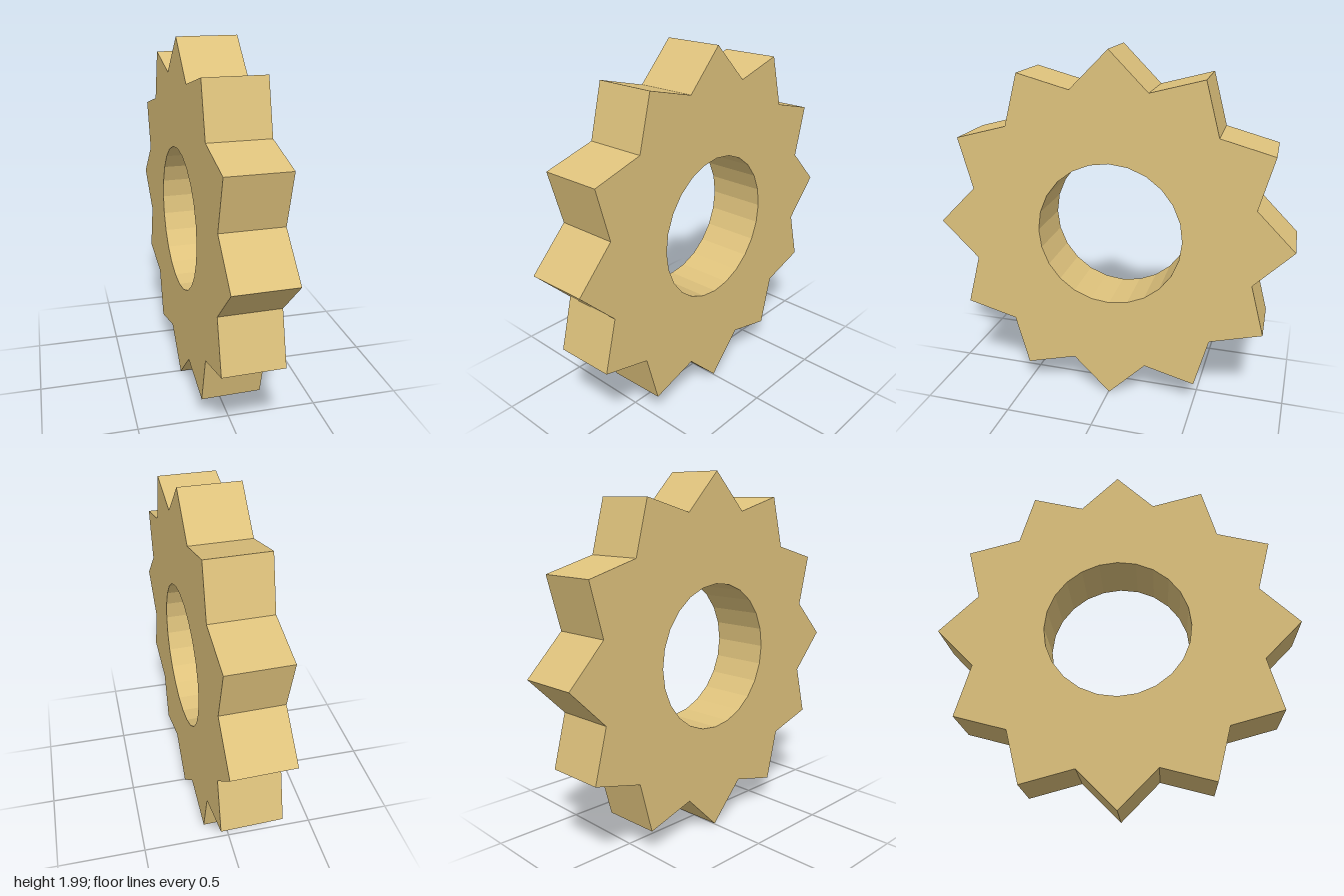
import * as THREE from 'three';

const TEETH = 12;
const OUTER = 0.995;
const INNER = 0.813;
const HOLE = 0.405;
const HOLE_SIDES = 24;
const THICKNESS = 0.33;
const TILT = 0.03;

// Points round a circle, starting at the top; radiusAt gives each point's radius
function ring(count, radiusAt) {
  return Array.from({ length: count }, (_, i) => {
    const a = Math.PI / 2 + (i / count) * Math.PI * 2;
    return new THREE.Vector2(Math.cos(a), Math.sin(a)).multiplyScalar(radiusAt(i));
  });
}

export function createModel() {
  const group = new THREE.Group();
  group.name = 'toothedWheel';

  // Pointed teeth: tips and valleys alternate, with a faceted bore in the middle
  const outline = new THREE.Shape(ring(TEETH * 2, (i) => (i % 2 ? INNER : OUTER)));
  outline.holes.push(new THREE.Path(ring(HOLE_SIDES, () => HOLE)));

  const geometry = new THREE.ExtrudeGeometry(outline, { depth: THICKNESS, bevelEnabled: false });
  geometry.translate(0, 0, -THICKNESS / 2);

  const material = new THREE.MeshStandardMaterial({ color: 0xdec27c, flatShading: true });
  const wheel = new THREE.Mesh(geometry, material);
  wheel.name = 'starGear';

  // Axle along x, turned very slightly about the vertical
  wheel.rotation.y = Math.PI / 2 + TILT;
  wheel.position.y = OUTER;
  group.add(wheel);
  return group;
}
